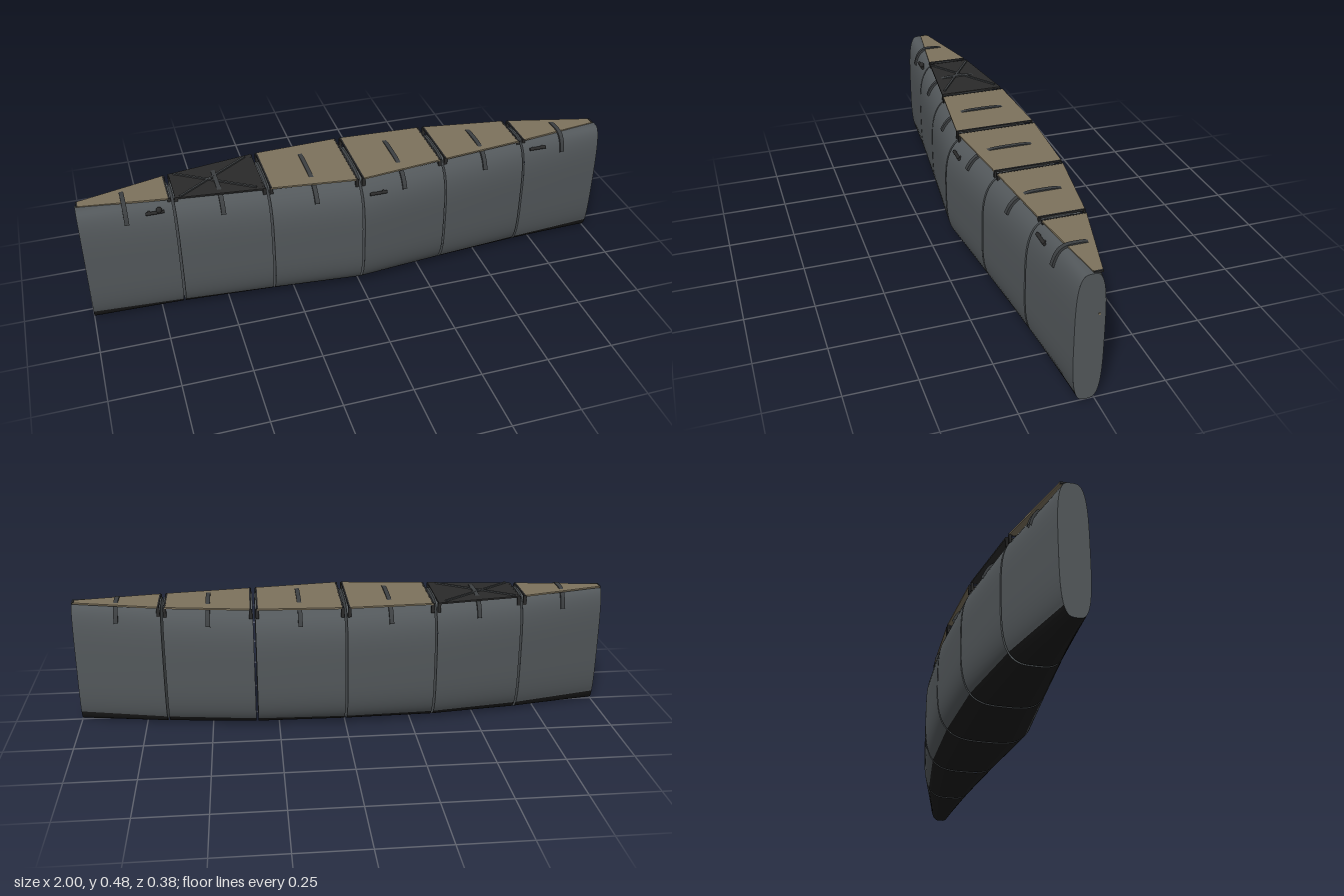
import * as THREE from 'three';

const mat = (name, color, side = THREE.FrontSide) => {
  const m = new THREE.MeshStandardMaterial({ color, side });
  m.name = name;
  return m;
};

// stations along the hull: [x, hull back z, hull front z, deck back z, deck front z]
const half = [[0, -0.19, 0.19, -0.158, 0.142], [0.333, -0.173, 0.152, -0.143, 0.103],
  [0.667, -0.115, 0.113, -0.092, 0.066], [1, -0.024, 0.076, -0.008, 0.02]];
const stations = [...half.slice(1).reverse().map(([x, ...r]) => [-x, ...r]), ...half];
const MID = 0.238, TALL = 0.236, POWER = 2 / 3.4;

function stationAt(i, x) {
  const a = stations[i], b = stations[i + 1];
  const t = (x - a[0]) / (b[0] - a[0]);
  return a.map((v, k) => v + (b[k] - v) * t);
}

// superellipse cross-section of segment i at x, pushed outward by grow
function section(i, x, grow = 0) {
  const [, zb, zf] = stationAt(i, x);
  const bend = (v) => Math.sign(v) * Math.pow(Math.abs(v), POWER);
  return (a) => [x, MID + (TALL + grow) * bend(Math.sin(a)),
    (zb + zf) / 2 + ((zf - zb) / 2 + grow) * bend(Math.cos(a))];
}

// surface between two curves over an angle range
function strip(A, B, a0, a1, n) {
  const pos = [], idx = [];
  for (let k = 0; k <= n; k++) {
    const a = a0 + (a1 - a0) * k / n;
    pos.push(...A(a), ...B(a));
    if (k < n) {
      const p = 2 * k;
      idx.push(p, p + 1, p + 3, p, p + 3, p + 2);
    }
  }
  const g = new THREE.BufferGeometry();
  g.setAttribute('position', new THREE.Float32BufferAttribute(pos, 3));
  g.setIndex(idx);
  g.computeVertexNormals();
  return g;
}

export function createModel() {
  const root = new THREE.Group();
  root.name = 'segmentedHull';
  const hull = mat('hull grey', 0x53585b);
  const keel = mat('keel black', 0x1c1c1c);
  const tan = mat('deck tan', 0x7d725c);
  const dark = mat('dark cover', 0x2a2a2a);
  const metal = mat('strap grey', 0x3c3f41, THREE.DoubleSide);
  const add = (parent, name, geo, material, x = 0, y = 0, z = 0) => {
    const m = new THREE.Mesh(geo, material);
    m.name = name;
    m.position.set(x, y, z);
    parent.add(m);
    return m;
  };
  const LOW = 0.836; // angle where the dark keel begins

  for (let i = 0; i < 6; i++) {
    const seg = new THREE.Group();
    seg.name = 'segment' + (i + 1);
    root.add(seg);
    const x0 = stations[i][0] + (i > 0 ? 0.004 : 0);
    const x1 = stations[i + 1][0] - (i < 5 ? 0.004 : 0);
    const xm = (x0 + x1) / 2;

    // body, keel and end caps
    const A = section(i, x0), B = section(i, x1);
    add(seg, 'hullSide', strip(A, B, -LOW, Math.PI + LOW, 48), hull);
    add(seg, 'keel', strip(A, B, Math.PI + LOW, 2 * Math.PI - LOW, 20), keel);
    const centre = (x) => {
      const s = stationAt(i, x);
      return () => [x, MID, (s[1] + s[2]) / 2];
    };
    add(seg, 'rightCap', strip(centre(x0), A, 0, 2 * Math.PI, 64), hull);
    add(seg, 'leftCap', strip(B, centre(x1), 0, 2 * Math.PI, 64), hull);

    // strap arching over the top
    const s0 = section(i, xm - 0.008, 0.008), s1 = section(i, xm + 0.008, 0.008);
    const t0 = 0.6, t1 = Math.PI - 0.6;
    add(seg, 'strap', strip(s0, s1, t0, t1, 28), metal);
    add(seg, 'strapEdge', strip(section(i, xm - 0.008), s0, t0, t1, 28), metal);
    add(seg, 'strapEdge', strip(s1, section(i, xm + 0.008), t0, t1, 28), metal);

    // deck panel
    const d0 = x0 + 0.008, d1 = x1 - 0.008;
    const p0 = stationAt(i, d0), p1 = stationAt(i, d1);
    const shape = new THREE.Shape([[d0, -p0[4]], [d1, -p1[4]], [d1, -p1[3]], [d0, -p0[3]]]
      .map(([x, y]) => new THREE.Vector2(x, y)));
    const plate = new THREE.ExtrudeGeometry(shape, { depth: 0.006, bevelEnabled: false });
    plate.rotateX(-Math.PI / 2);
    add(seg, 'deckPanel', plate, i === 1 ? dark : tan, 0, 0.471, 0);

    // dark end bars and corner posts
    for (const [x, p, outer] of [[d0, p0, i === 0], [d1, p1, i === 5]]) {
      add(seg, 'deckEndBar', new THREE.BoxGeometry(0.006, 0.007, p[4] - p[3]), dark,
        x, 0.474, (p[3] + p[4]) / 2);
      if (outer) continue;
      for (const z of [p[3] + 0.004, p[4] - 0.004]) {
        add(seg, 'deckPost', new THREE.BoxGeometry(0.012, 0.036, 0.008), dark,
          x, 0.457, z);
      }
    }
  }

  // crossed braces on the dark cover
  const braces = [[-0.64, -0.088, -0.37, 0.085], [-0.64, 0.065, -0.37, -0.125]];
  for (const [xa, za, xb, zb] of braces) {
    const bar = add(root, 'crossBrace',
      new THREE.BoxGeometry(Math.hypot(xb - xa, zb - za), 0.006, 0.008), metal,
      (xa + xb) / 2, 0.479, (za + zb) / 2);
    bar.rotation.y = -Math.atan2(zb - za, xb - xa);
  }

  // small grab rods on the front shoulder
  const rods = [[-0.735, 0.443, 0.088], [0.062, 0.417, 0.163], [0.73, 0.443, 0.086]];
  for (const [x, y, z] of rods) {
    const rod = add(root, 'grabRod', new THREE.CylinderGeometry(0.006, 0.006, 0.065, 10), dark, x, y, z);
    rod.rotation.z = Math.PI / 2;
    for (const s of [-0.02, 0.02]) {
      add(root, 'rodFoot', new THREE.BoxGeometry(0.008, 0.008, 0.02), dark, x + s, y, z - 0.008);
    }
  }
  add(root, 'rodKnob', new THREE.SphereGeometry(0.011, 12, 8), dark, -0.72, 0.452, 0.088);

  // small stud on the left end
  const stud = add(root, 'endStud', new THREE.CylinderGeometry(0.004, 0.004, 0.006, 10), tan, 0.999, 0.325, -0.003);
  stud.rotation.z = Math.PI / 2;

  return root;
}
